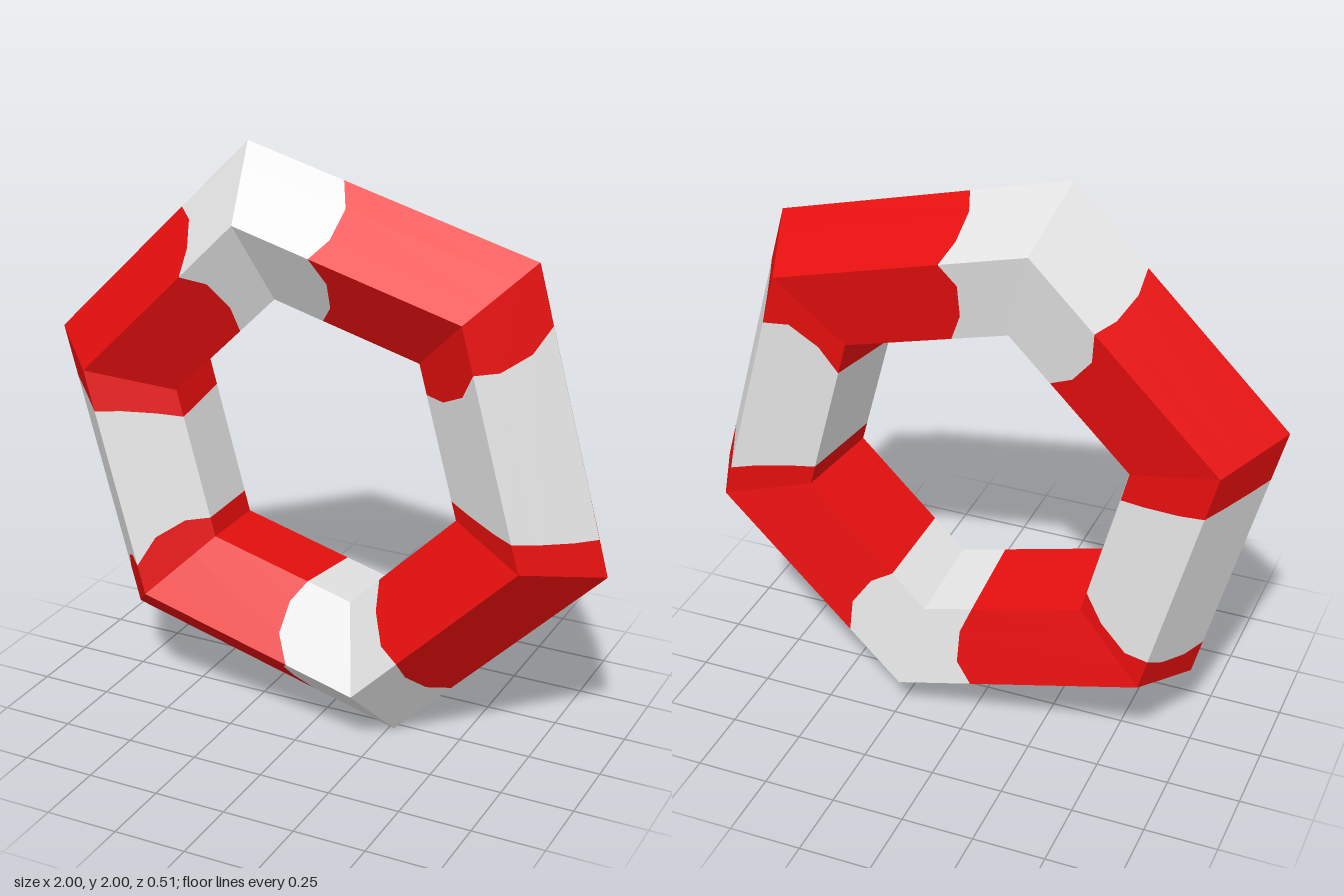
import * as THREE from 'three';

const RING = 0.768, TUBE = 0.269, TWIST = 0.16; // five-sided tube around a six-sided ring
const SIDES = 5, SEGMENTS = 6;

// Band edges in ring segments, clockwise from the top corner; wobble scales the stepped edge.
const EDGES = [
  { s: -0.34, wobble: 1 }, { s: 0.34, wobble: 1 },
  { s: 1.195, wobble: 1 }, { s: 1.875, wobble: 0.15 },
  { s: 2.715, wobble: 1 }, { s: 3.31, wobble: 1 },
  { s: 4.13, wobble: 1 }, { s: 4.82, wobble: 0.15 },
];
const STEP = [0.045, 0.07, 0, -0.065, -0.03]; // edge step in the middle of each tube side
const ROWS = [0, 0.3, 0.7, 1];

// Corner k of the tube at ring corner i
function corner(i, k) {
  const a = THREE.MathUtils.degToRad(105 - 60 * i);
  const b = TWIST + (k * 2 * Math.PI) / SIDES;
  const r = RING + TUBE * Math.cos(b);
  const z = TUBE * Math.sin(b) - TUBE * Math.cos((2 * Math.PI) / SIDES) * Math.sin(TWIST);
  return new THREE.Vector3(r * Math.cos(a), 1 + r * Math.sin(a), z);
}

// Point on the flat panel of segment seg, tube side k
function panelPoint(seg, k, s, v) {
  const outer = corner(seg, k).lerp(corner(seg + 1, k), s - seg);
  const inner = corner(seg, k + 1).lerp(corner(seg + 1, k + 1), s - seg);
  return outer.lerp(inner, v);
}

// Faceted skin of one band, between two stepped edges
function bandGeometry(from, to) {
  const pts = [];
  const knots = [from];
  for (let i = Math.ceil(from.s); i < to.s; i++) knots.push({ s: i, wobble: 0 });
  knots.push(to);
  for (let n = 0; n < knots.length - 1; n++) {
    const seg = Math.floor((knots[n].s + knots[n + 1].s) / 2);
    for (let k = 0; k < SIDES; k++) {
      const at = (knot, row) => {
        const mid = row === 1 || row === 2 ? 1 : 0;
        return panelPoint(seg, k, knot.s + knot.wobble * STEP[k] * mid, ROWS[row]);
      };
      for (let row = 0; row < 3; row++) {
        const a = at(knots[n], row), b = at(knots[n], row + 1);
        const c = at(knots[n + 1], row + 1), d = at(knots[n + 1], row);
        pts.push(a, b, c, a, c, d);
      }
    }
  }
  const g = new THREE.BufferGeometry().setFromPoints(pts);
  g.computeVertexNormals(); // unshared corners keep every panel flat
  return g;
}

export function createModel() {
  const white = new THREE.MeshStandardMaterial({ color: 0xe4e4e4 });
  white.name = 'white';
  const red = new THREE.MeshStandardMaterial({ color: 0xe60e0e });
  red.name = 'red';

  const group = new THREE.Group();
  group.name = 'lifebuoy';
  // Alternating white and red bands around the ring
  EDGES.forEach((edge, i) => {
    const next = i + 1 < EDGES.length ? EDGES[i + 1] : { s: EDGES[0].s + SEGMENTS, wobble: EDGES[0].wobble };
    const isWhite = i % 2 === 0;
    const mesh = new THREE.Mesh(bandGeometry(edge, next), isWhite ? white : red);
    mesh.name = (isWhite ? 'whiteBand' : 'redBand') + (Math.floor(i / 2) + 1);
    group.add(mesh);
  });
  return group;
}
